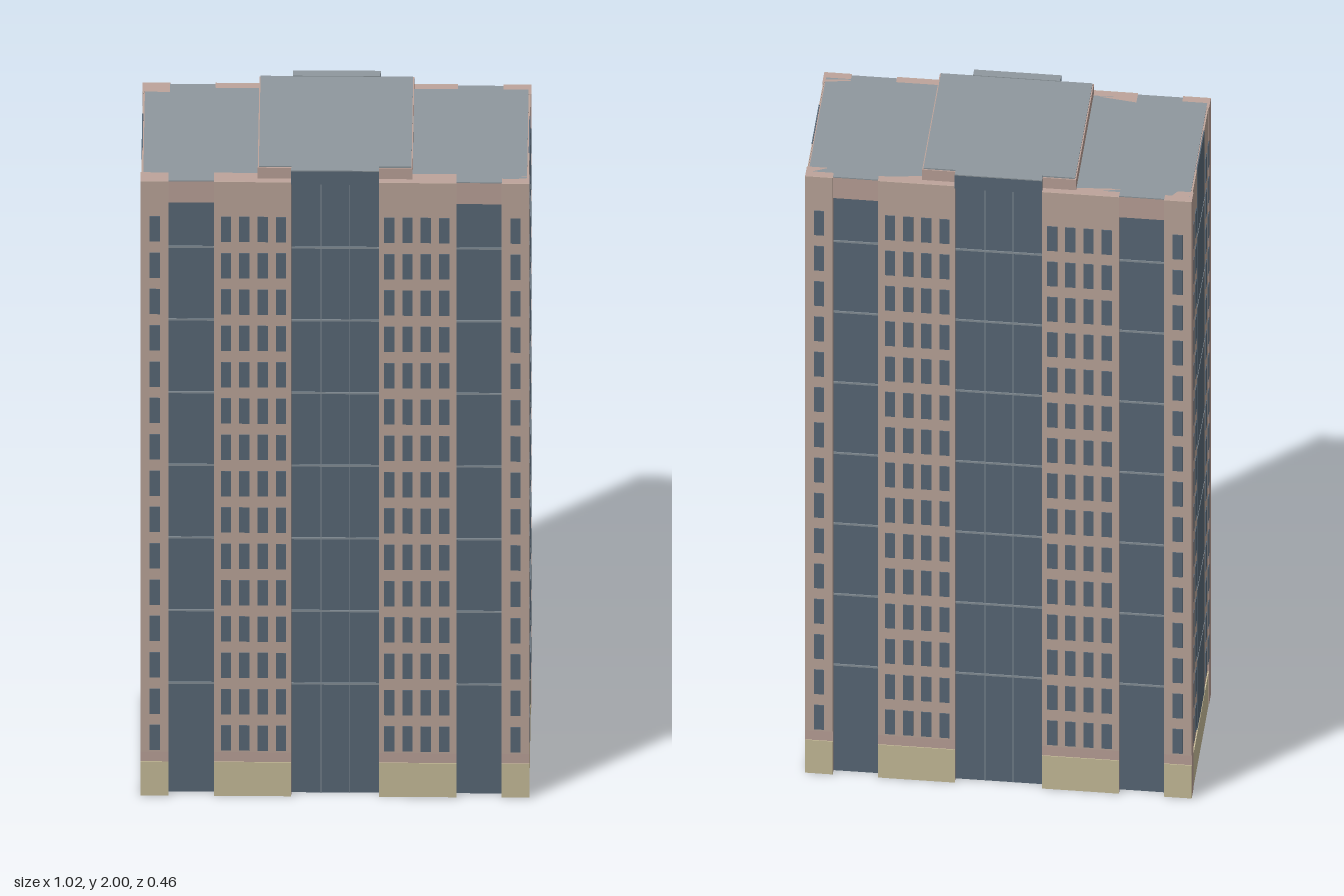
import * as THREE from 'three';
import { mergeGeometries } from 'three/addons/utils/BufferGeometryUtils.js';

const mat = (name, color) => Object.assign(new THREE.MeshStandardMaterial({ color }), { name });

// box given by its limits on each axis
function box(x0, x1, y0, y1, z0, z1) {
  const g = new THREE.BoxGeometry(x1 - x0, y1 - y0, z1 - z0);
  return g.translate((x0 + x1) / 2, (y0 + y1) / 2, (z0 + z1) / 2);
}

export function createModel() {
  const wall = mat('pinkWall', 0xbea49b);
  const panel = mat('tanPanel', 0xbfa99d);
  const sand = mat('sandBase', 0xcbc09c);
  const glass = mat('blueGlass', 0x5a6a79);
  const line = mat('greyMullion', 0x87929a);
  const roof = mat('greyRoof', 0x8f989e);

  const H = 1.96, CORE = 0.205, PIER = 0.226;
  const floors = Array.from({ length: 15 }, (_, i) => 0.186 + i * 0.116);
  const bands = Array.from({ length: 7 }, (_, i) => 0.348 + i * 0.232);
  const model = new THREE.Group();
  const add = (parent, name, material, boxes) => {
    const m = new THREE.Mesh(mergeGeometries(boxes), material);
    m.name = name;
    parent.add(m);
  };

  // core, roof and raised roof house
  add(model, 'core', wall, [box(-0.506, 0.506, 0, H - 0.003, -CORE, CORE)]);
  add(model, 'roofDeck', roof, [box(-0.503, 0.503, H - 0.003, H, -CORE, CORE)]);
  add(model, 'roofHouse', wall, [box(-0.203, 0.203, H, 1.994, -0.21, 0.21)]);
  add(model, 'roofHouseTop', roof, [box(-0.2, 0.2, 1.994, 1.998, -0.207, 0.207)]);

  // long facade, used for front and back
  function longFacade(name) {
    const f = new THREE.Group();
    f.name = name;
    const piers = [[-0.51, -0.437], [-0.318, -0.115], [0.115, 0.318], [0.437, 0.51]];
    const bays = [[-0.437, -0.318, 1.89], [-0.115, 0.115, H], [0.318, 0.437, 1.89]];
    add(f, 'piers', wall, piers.map(([a, b]) => box(a, b, 0, H, CORE - 0.02, PIER)));
    add(f, 'pierPanels', panel, piers.map(([a, b]) => box(a, b, 0.14, H, PIER, PIER + 0.002)));
    add(f, 'pierBases', sand, piers.map(([a, b]) => box(a, b, 0, 0.108, PIER, PIER + 0.002)));
    add(f, 'glassBays', glass, bays.map(([a, b, t]) => box(a, b, 0, t, CORE, CORE + 0.004)));

    // floor lines and upright mullions on the glass
    const lines = [];
    for (const [a, b] of bays)
      for (const y of bands) lines.push(box(a, b, y - 0.003, y + 0.003, CORE, CORE + 0.006));
    for (const x of [-0.037, 0.037]) lines.push(box(x - 0.001, x + 0.001, 0, H, CORE, CORE + 0.006));
    add(f, 'mullions', line, lines);

    // headers over the side bays and cap over the centre bay
    const heads = [bays[0], bays[2]];
    add(f, 'headers', wall, heads.map(([a, b]) => box(a, b, 1.89, H - 0.003, CORE, 0.222)));
    add(f, 'headerTops', roof, heads.map(([a, b]) => box(a, b, H - 0.003, H, CORE, 0.222)));
    add(f, 'centreCap', glass, [box(-0.115, 0.115, H - 0.005, 1.997, CORE, 0.23)]);
    add(f, 'centreCapTop', roof, [box(-0.115, 0.115, 1.997, 2, CORE, 0.23)]);

    const wins = [];
    for (const x of [0.142, 0.19, 0.238, 0.286, 0.473])
      for (const s of [-1, 1])
        for (const y of floors)
          wins.push(box(s * x - 0.0135, s * x + 0.0135, y - 0.04, y + 0.04, PIER, PIER + 0.004));
    add(f, 'windows', glass, wins);
    return f;
  }

  // short facade, built facing +x, used for both ends
  function shortFacade(name) {
    const f = new THREE.Group();
    f.name = name;
    const X = 0.506;
    add(f, 'endPanels', panel, [-1, 1].map(s =>
      box(X, X + 0.002, 0.14, H, s > 0 ? 0.085 : -0.2, s > 0 ? 0.2 : -0.085)));
    add(f, 'endBase', sand, [box(X, X + 0.003, 0, 0.108, -0.2, 0.2)]);
    add(f, 'endGlass', glass, [box(X, X + 0.003, 0.117, H, -0.085, 0.085)]);
    add(f, 'endMullions', line,
      bands.map(y => box(X, X + 0.004, y - 0.002, y + 0.002, -0.085, 0.085)));
    const wins = [];
    for (const z of [-0.178, -0.121, 0.121, 0.178])
      for (const y of floors)
        wins.push(box(X, X + 0.004, y - 0.04, y + 0.04, z - 0.013, z + 0.013));
    add(f, 'endWindows', glass, wins);
    return f;
  }

  const back = longFacade('backFacade');
  back.rotation.y = Math.PI;
  const right = shortFacade('rightFacade');
  right.rotation.y = Math.PI;
  model.add(longFacade('frontFacade'), back, shortFacade('leftFacade'), right);
  return model;
}
